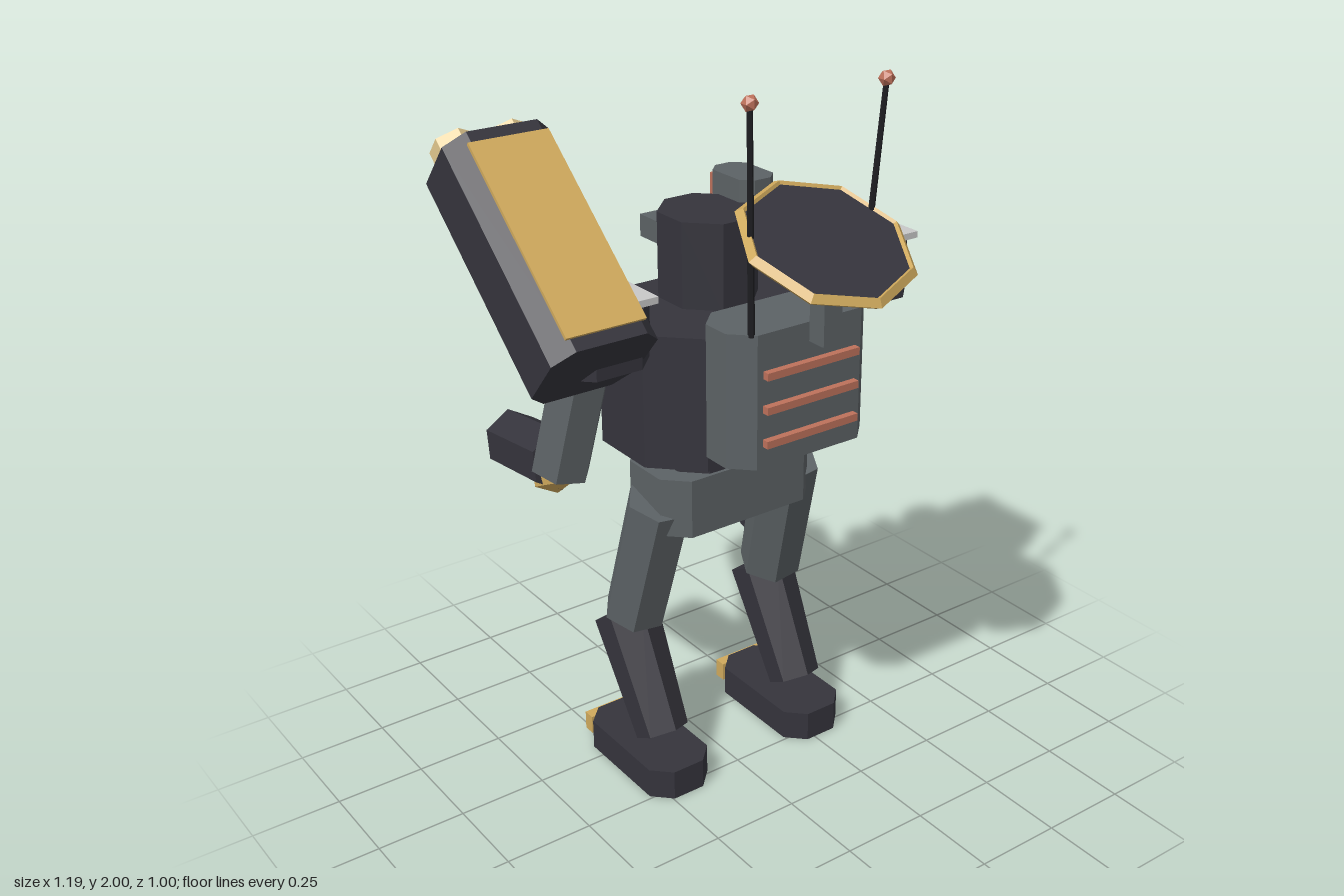
import * as THREE from 'three';

const mat = (name, color) => {
  const m = new THREE.MeshStandardMaterial({ color, flatShading: true });
  m.name = name;
  return m;
};

export function createModel() {
  const dark = mat('dark steel', 0x35343c);
  const gray = mat('gray steel', 0x5c6265);
  const light = mat('light plate', 0xc8c8c8);
  const gold = mat('gold trim', 0xcfa95c);
  const pale = mat('pale gold', 0xe2c88e);
  const copper = mat('copper', 0xbd715b);
  const black = mat('antenna black', 0x1e1e22);

  const root = new THREE.Group();
  root.name = 'robot';
  const body = new THREE.Group();
  body.name = 'body';
  body.position.x = 0.037; // the launcher makes the outline lopsided
  root.add(body);

  const add = (name, geo, m, x = 0, y = 0, z = 0, parent = body) => {
    const mesh = new THREE.Mesh(geo, m);
    mesh.name = name;
    mesh.position.set(x, y, z);
    parent.add(mesh);
    return mesh;
  };
  const box = (w, h, d) => new THREE.BoxGeometry(w, h, d);

  // Upright block with its four vertical edges cut off, centred on the origin
  const prism = (w, h, d, c) => {
    const a = w / 2, b = d / 2;
    const s = new THREE.Shape([
      [a - c, -b], [a, -b + c], [a, b - c], [a - c, b],
      [-a + c, b], [-a, b - c], [-a, -b + c], [-a + c, -b],
    ].map(([x, y]) => new THREE.Vector2(x, y)));
    return new THREE.ExtrudeGeometry(s, { depth: h, bevelEnabled: false })
      .translate(0, 0, -h / 2).rotateX(-Math.PI / 2);
  };

  // Faceted limb from point a (radius ra) to point b (radius rb)
  const limb = (name, a, b, ra, rb, m, sides = 6) => {
    const p = new THREE.Vector3(...a), q = new THREE.Vector3(...b);
    const dir = q.clone().sub(p);
    const mesh = add(name, new THREE.CylinderGeometry(rb, ra, dir.length(), sides), m);
    mesh.position.copy(p).add(q).multiplyScalar(0.5);
    mesh.quaternion.setFromUnitVectors(new THREE.Vector3(0, 1, 0), dir.normalize());
    return mesh;
  };

  // Trunk
  add('torso', prism(0.61, 0.36, 0.43, 0.115), dark, 0, 1.18, -0.135);
  add('waist', prism(0.36, 0.08, 0.24, 0.06), dark, 0, 0.97, -0.13);
  add('hips', prism(0.49, 0.165, 0.26, 0.06), gray, 0, 0.855, -0.13);

  // Chest panel with a V of two gold bars
  add('chestPanel', prism(0.36, 0.23, 0.06, 0.02), gray, 0, 1.21, -0.347);
  for (const s of [-1, 1]) {
    const bar = add('chestBar', box(0.03, 0.29, 0.03), gold, s * 0.1, 1.21, -0.39);
    bar.rotation.z = -s * 0.74;
  }
  add('chestBadge', box(0.08, 0.05, 0.03), copper, 0, 1.085, -0.37);

  // Backpack with vents
  add('backpack', prism(0.43, 0.355, 0.19, 0.055), gray, 0, 1.238, 0.15);
  for (const y of [1.13, 1.22, 1.31])
    add('vent', box(0.285, 0.02, 0.022), copper, 0, y, 0.253);

  // Antennas
  for (const s of [-1, 1]) {
    limb('antenna', [s * 0.168, 1.41, 0.23], [s * 0.199, 1.98, 0.262], 0.009, 0.007, black);
    add('antennaTip', new THREE.IcosahedronGeometry(0.021, 0), copper, s * 0.199, 1.98, 0.262);
  }

  // Tilted dish on a post
  add('dishPost', box(0.055, 0.24, 0.055), gray, 0, 1.5, 0.302);
  const dish = new THREE.Group();
  dish.name = 'dish';
  dish.position.set(0, 1.627, 0.297);
  dish.rotation.x = 0.455;
  body.add(dish);
  add('dishPlate', new THREE.CylinderGeometry(0.212, 0.205, 0.02, 8), dark, 0, 0, 0, dish);
  add('dishRim', new THREE.TorusGeometry(0.21, 0.017, 4, 8).rotateX(Math.PI / 2), gold, 0, 0, 0, dish);

  // Head, eyes and side sensor
  add('head', prism(0.24, 0.24, 0.26, 0.075), dark, 0, 1.47, -0.18);
  for (const s of [-1, 1]) {
    add('eyeHousing', box(0.06, 0.06, 0.08), gray, s * 0.058, 1.515, -0.322);
    add('eye', box(0.045, 0.045, 0.008), copper, s * 0.058, 1.512, -0.366);
  }
  add('mouthLight', box(0.05, 0.035, 0.03), copper, 0, 1.5, -0.31);
  add('sensorPod', prism(0.11, 0.11, 0.175, 0.03), gray, 0.148, 1.595, -0.23);
  add('sensorLens', box(0.07, 0.07, 0.016), copper, 0.148, 1.595, -0.32);

  for (const s of [-1, 1]) {
    // Arms
    add('shoulder', prism(0.27, 0.145, 0.36, 0.07), dark, s * 0.418, 1.38, -0.14);
    add('shoulderPlate', box(0.27, 0.018, 0.31), light, s * 0.418, 1.462, -0.145);
    limb('upperArm', [s * 0.395, 1.36, -0.137], [s * 0.453, 0.97, -0.205], 0.08, 0.08, gray);
    limb('elbowGuard', [s * 0.453, 0.972, -0.222], [s * 0.453, 0.968, -0.135], 0.078, 0, gold);
    limb('forearm', [s * 0.453, 0.995, -0.212], [s * 0.453, 0.964, -0.46], 0.083, 0.081, dark);

    // Legs
    limb('thigh', [s * 0.212, 0.845, -0.11], [s * 0.235, 0.465, -0.213], 0.092, 0.089, gray);
    limb('kneeGuard', [s * 0.235, 0.477, -0.225], [s * 0.235, 0.455, -0.325], 0.08, 0, gold);
    limb('shin', [s * 0.237, 0.445, -0.255], [s * 0.235, 0.137, -0.087], 0.09, 0.074, dark);
    const lamp = add('shinLight', box(0.04, 0.05, 0.035), copper, s * 0.236, 0.275, -0.245);
    lamp.rotation.x = -0.5;
    add('foot', prism(0.196, 0.088, 0.39, 0.05), dark, s * 0.235, 0.044, -0.155);
    add('toe', box(0.16, 0.055, 0.035), gold, s * 0.235, 0.047, -0.353);
  }

  // Holster on the left thigh
  limb('holster', [0.262, 0.8, -0.235], [0.262, 0.54, -0.325], 0.048, 0.048, dark);

  // Shoulder launcher, its length along local y
  const launcher = new THREE.Group();
  launcher.name = 'launcher';
  launcher.position.set(-0.49, 1.55, -0.188);
  launcher.rotation.x = -0.852;
  body.add(launcher);
  add('launcherBody', prism(0.294, 0.62, 0.25, 0.05), dark, 0, 0, 0, launcher);
  add('launcherPanel', box(0.22, 0.55, 0.009), gold, 0, 0, 0.128, launcher);
  for (const s of [-1, 1])
    add('launchTube', new THREE.CylinderGeometry(0.06, 0.06, 0.07, 6), pale, s * 0.074, 0.33, 0, launcher);

  return root;
}
